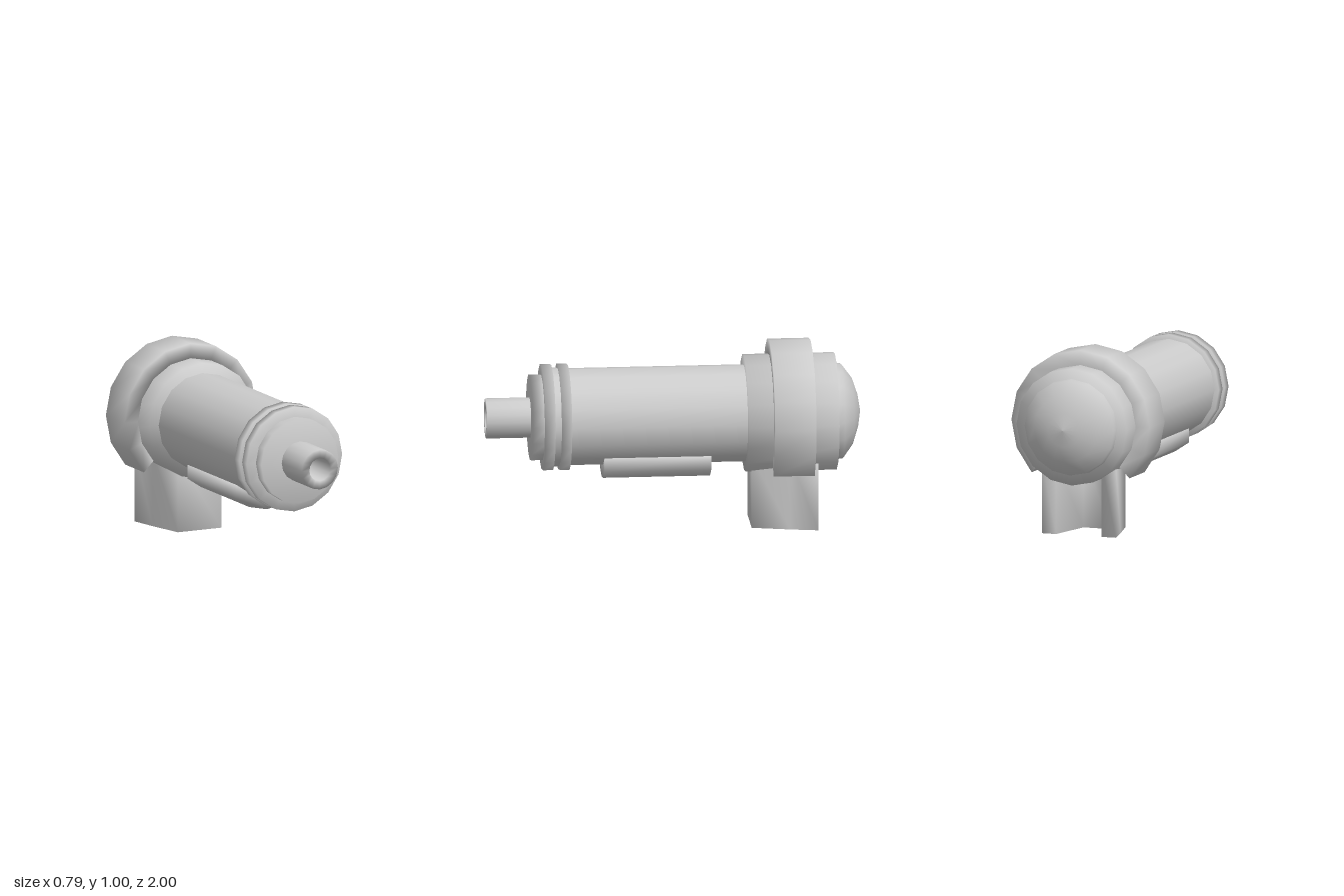
import * as THREE from 'three';
import { mergeVertices } from 'three/addons/utils/BufferGeometryUtils.js';

const AXIS_Y = 0.6;
const SIDES = 16;

export function createModel() {
  const model = new THREE.Group();
  const grey = new THREE.MeshStandardMaterial({ color: 0xcccccc, side: THREE.DoubleSide });

  function add(name, geometry, y = 0) {
    const mesh = new THREE.Mesh(geometry, grey);
    mesh.name = name;
    mesh.position.y = y;
    model.add(mesh);
    return mesh;
  }

  // Turned part along z; profile is [radius, z] from back to front
  function turned(name, profile, start = 0, length = Math.PI * 2, sides = SIDES) {
    const points = profile.map(([r, z]) => new THREE.Vector2(r, z));
    const geometry = new THREE.LatheGeometry(points, sides, start, length).rotateX(Math.PI / 2);
    return add(name, geometry, AXIS_Y);
  }

  // Softly shaded prism: outline of [a, b] corners
  function prism(outline, depth) {
    const shape = new THREE.Shape(outline.map(([a, b]) => new THREE.Vector2(a, b)));
    const geometry = new THREE.ExtrudeGeometry(shape, { depth, bevelEnabled: false });
    geometry.deleteAttribute('normal');
    geometry.deleteAttribute('uv');
    const soft = mergeVertices(geometry);
    soft.computeVertexNormals();
    return soft;
  }

  const mirrored = (half) => [...half, ...half.filter(([a]) => a !== 0).reverse().map(([a, b]) => [-a, b])];

  // Main tube
  const tube = new THREE.CylinderGeometry(0.26, 0.26, 1.04, SIDES).rotateX(Math.PI / 2);
  tube.translate(0, 0, 0.12);
  add('mainTube', tube, AXIS_Y);

  // Rear drum and domed end
  turned('rearDrum', [[0, -0.865], [0.315, -0.865], [0.315, -0.38], [0, -0.38]]);
  turned('rearDome', [[0, -1], [0.09, -0.985], [0.18, -0.955], [0.255, -0.9], [0.26, -0.86]]);

  // Two front flanges with a groove between them
  for (const [name, z] of [['rearFlange', 0.56], ['frontFlange', 0.648]]) {
    turned(name, [[0.2, z], [0.285, z], [0.285, z + 0.054], [0.2, z + 0.054]]);
  }
  turned('flangeGroove', [[0.265, 0.6], [0.265, 0.66]]);

  // Front cap and hollow nozzle
  turned('frontCap', [[0.23, 0.69], [0.23, 0.765], [0, 0.765]]);
  turned('nozzle', [[0.108, 0.75], [0.108, 1], [0.062, 1], [0.062, 0.85], [0, 0.85]]);

  // Collar wrapping three quarters of the drum, open at the bottom
  turned('collar',
    [[0.31, -0.735], [0.395, -0.735], [0.395, -0.515], [0.31, -0.515], [0.31, -0.735]],
    Math.PI / 4, Math.PI * 1.5, 12);
  for (const angle of [-Math.PI / 4, -Math.PI * 0.75]) {
    const end = new THREE.PlaneGeometry(0.085, 0.22).rotateX(Math.PI / 2);
    end.translate(0.3525, 0, -0.625).rotateZ(angle);
    add('collarEnd', end, AXIS_Y);
  }

  // Saddle plate under the tube
  const saddle = prism(mirrored([[0, 0.265], [0.105, 0.287], [0.185, 0.34], [0.185, 0.415]]), 0.57);
  add('saddlePlate', saddle.translate(0, 0, -0.19));

  // U-shaped foot, tapering to the front and open at the back.
  // Outline is [x, -z], extruded upwards.
  const foot = prism(mirrored([
    [0.13, 0.41], [0.18, 0.61], [0.21, 0.76], [0.13, 0.76], [0.075, 0.5],
  ]).map((p) => p), 0.4);
  // Mirrored outline must run along the outside first, then back through the channel
  foot.dispose();
  const outer = [[0.13, 0.41], [0.18, 0.61], [0.21, 0.76], [0.13, 0.76], [0.075, 0.5]];
  const footOutline = [...outer, ...outer.slice().reverse().map(([x, z]) => [-x, z])];
  add('foot', prism(footOutline, 0.4).rotateX(-Math.PI / 2));

  return model;
}
